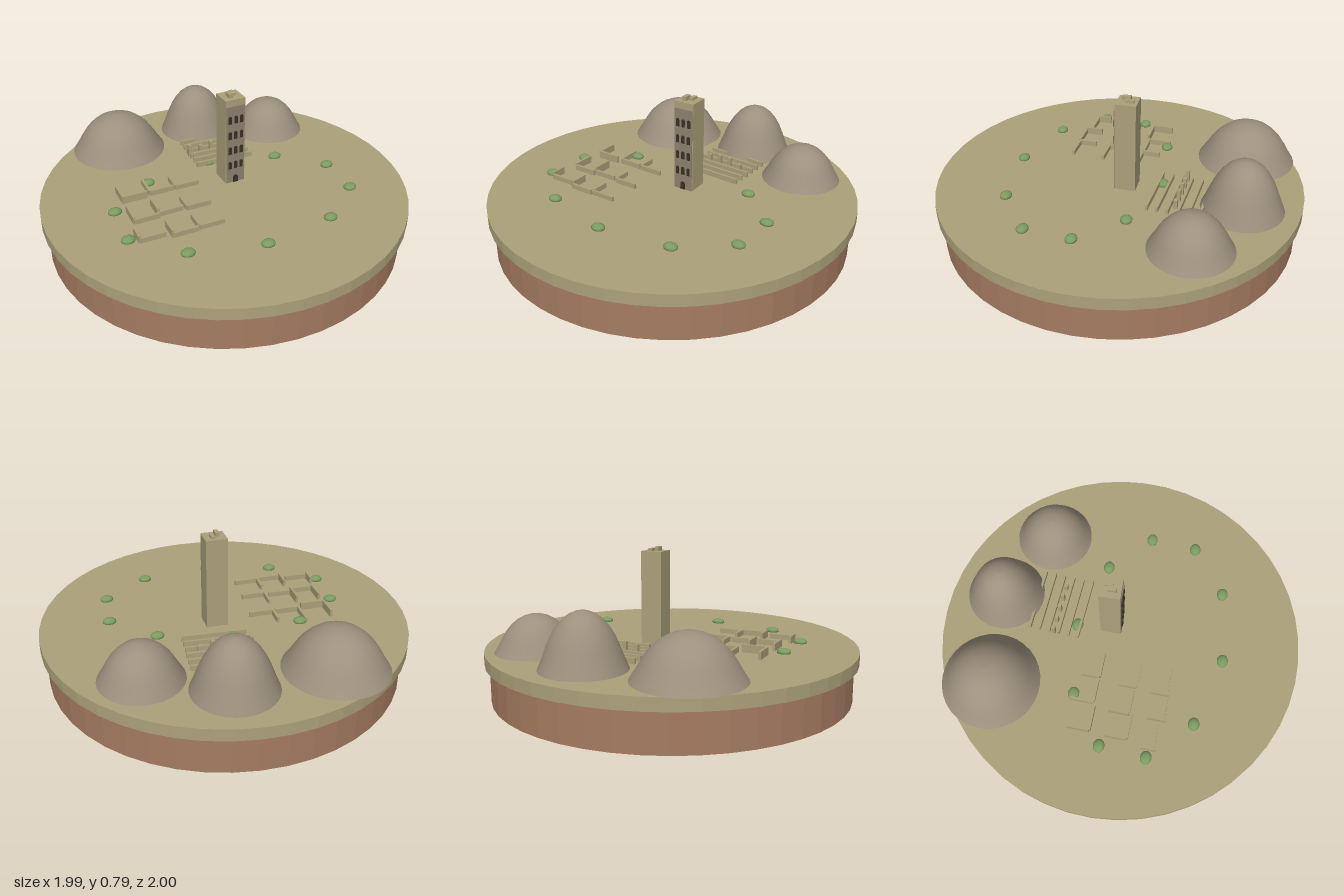
import * as THREE from 'three';

const paint = (name, color) => {
  const m = new THREE.MeshStandardMaterial({ color });
  m.name = name;
  return m;
};

export function createModel() {
  const model = new THREE.Group();
  model.name = 'ruinsDiorama';
  const sand = paint('sand', 0xaca27a);
  const clay = paint('clay', 0xa67c62);
  const clayFlat = clay;
  const rock = paint('rock', 0x9c907d);
  const facadeStone = paint('facadeStone', 0x8f8370);
  const dark = paint('darkOpening', 0x3d3024);
  const green = paint('bushGreen', 0x7a9c60);
  const GROUND = 0.265;

  const add = (parent, name, geo, mat, x = 0, y = 0, z = 0) => {
    const mesh = new THREE.Mesh(geo, mat);
    mesh.name = name;
    mesh.position.set(x, y, z);
    parent.add(mesh);
    return mesh;
  };
  const box = (parent, name, w, h, d, x, y, z, mat = sand) =>
    add(parent, name, new THREE.BoxGeometry(w, h, d), mat, x, y + h / 2, z);
  const group = (name, x, z, turn) => {
    const g = new THREE.Group();
    g.name = name;
    g.position.set(x, GROUND, z);
    g.rotation.y = turn;
    model.add(g);
    return g;
  };
  // cylinder with faceted side and flat caps
  const disc = (r, h) => {
    const g = new THREE.CylinderGeometry(r, r, h, 48).toNonIndexed();
    g.computeVertexNormals();
    return g;
  };

  // round base and ground plate
  add(model, 'base', disc(0.97, 0.2), clayFlat, 0, 0.1, 0.003);
  add(model, 'ground', disc(0.996, 0.065), sand, 0, 0.2325, 0.003);

  // hills: one bell profile, scaled
  const bell = [[1, 0], [0.9, 0.18], [0.8, 0.385], [0.7, 0.565], [0.58, 0.72],
    [0.45, 0.845], [0.3, 0.935], [0.15, 0.985], [0, 1]];
  for (const [x, z, r, h] of [[-0.18, -0.73, 0.27, 0.225], [0.33, -0.615, 0.217, 0.28], [0.66, -0.31, 0.215, 0.197]]) {
    const pts = bell.map(([a, b]) => new THREE.Vector2(a * r, b * h));
    add(model, 'hill', new THREE.LatheGeometry(pts, 32), rock, x, GROUND, z);
    const under = add(model, 'hillUnderside', new THREE.CircleGeometry(r, 32), rock, x, GROUND - 0.001, z);
    under.rotation.x = Math.PI / 2;
  }

  // tower
  const tower = group('tower', 0.083, -0.035, -0.28);
  const W = 0.116, D = 0.111;
  box(tower, 'towerBody', W, 0.5, D, 0, 0, 0);
  box(tower, 'towerFacade', W - 0.008, 0.463, 0.005, 0, 0, D / 2 + 0.002, facadeStone);
  box(tower, 'roofBlock', 0.022, 0.022, 0.045, -0.014, 0.5, 0.008);
  box(tower, 'roofBlock', 0.022, 0.014, 0.045, 0.014, 0.5, -0.014);

  // arched openings on the tower front
  const arch = (w, h) => {
    const s = new THREE.Shape();
    s.moveTo(-w / 2, 0);
    s.lineTo(w / 2, 0);
    s.lineTo(w / 2, h - w / 2);
    s.absarc(0, h - w / 2, w / 2, 0, Math.PI, false);
    s.lineTo(-w / 2, 0);
    return new THREE.ExtrudeGeometry(s, { depth: 0.004, bevelEnabled: false, curveSegments: 6 });
  };
  const windowGeo = arch(0.019, 0.045);
  for (let row = 0; row < 4; row++)
    for (let col = -1; col <= 1; col++)
      add(tower, 'window', windowGeo, dark, col * 0.034, 0.088 + row * 0.092, D / 2 + 0.004);
  add(tower, 'door', arch(0.028, 0.045), dark, 0, 0, D / 2 + 0.004);

  // L-shaped house ruins: corner x, corner z, length of side arm, wall heights
  const houses = [
    [-0.518, -0.223, 0.12, 0.042, 0.042], [-0.368, -0.186, 0.13, 0.03, 0.03], [-0.23, -0.138, 0.1, 0.028, 0.03],
    [-0.587, -0.031, 0.12, 0.03, 0.04], [-0.454, -0.004, 0.11, 0.028, 0.045], [-0.31, 0.054, 0.095, 0.028, 0.028],
    [-0.662, 0.113, 0.08, 0.028, 0.04], [-0.513, 0.188, 0.1, 0.028, 0.04], [-0.374, 0.225, 0.1, 0.026, 0.03],
  ];
  for (const [x, z, arm, hLong, hSide] of houses) {
    const house = group('houseRuin', x, z, -0.31);
    box(house, 'longWall', 0.135, hLong, 0.014, 0.0675, 0, 0);
    box(house, 'sideWall', 0.014, hSide, arm, 0, 0, -arm / 2);
  }

  // parallel low walls with a row of pillars between the middle pair
  const hall = group('pillaredHall', 0.221, -0.308, -0.35);
  for (let i = 0; i < 6; i++)
    box(hall, 'lowWall', 0.345, 0.03, 0.013, 0, 0, (i - 2.5) * 0.055);
  [0.07, 0.06, 0.07, 0.07, 0.05].forEach((h, i) =>
    box(hall, 'pillar', 0.02, h, 0.02, -0.165 + i * 0.067, 0, 0));

  // bushes
  const bushGeo = new THREE.SphereGeometry(1, 16, 10);
  const spots = [[-0.304, -0.287], [-0.603, -0.18], [-0.694, 0.06], [-0.545, 0.337], [-0.213, 0.546],
    [0.18, 0.61], [0.48, 0.498], [0.571, 0.257], [0.422, -0.015], [0.09, -0.228]];
  for (const [x, z] of spots) {
    const bush = add(model, 'bush', bushGeo, green, x, 0.272, z);
    bush.scale.set(0.037, 0.02, 0.031);
    bush.rotation.y = -0.3;
  }
  return model;
}
